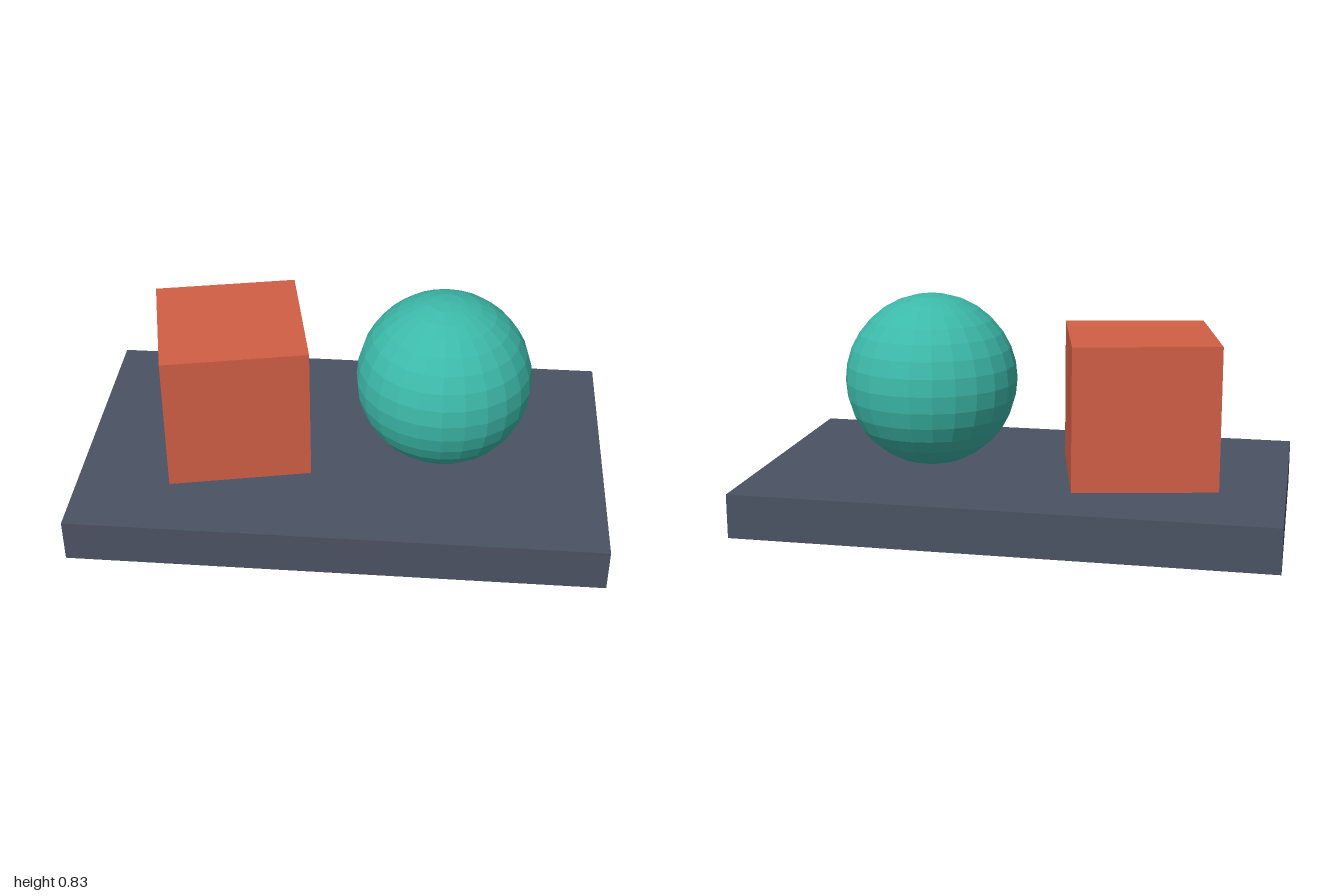
import * as THREE from 'three';

const material = (name, color, flatShading = false) => {
  const m = new THREE.MeshStandardMaterial({ color, flatShading });
  m.name = name;
  return m;
};

export function createModel() {
  const model = new THREE.Group();
  const slate = material('slate', 0x4a5263);
  const terracotta = material('terracotta', 0xd15f45);
  const teal = material('teal', 0x3cb9a9, true);

  const add = (name, geometry, mat, x, y, z) => {
    const mesh = new THREE.Mesh(geometry, mat);
    mesh.name = name;
    mesh.position.set(x, y, z);
    model.add(mesh);
    return mesh;
  };

  // Slab, with its top at 1/6
  const top = 1 / 6;
  add('slab', new THREE.BoxGeometry(2, top, 7 / 6), slate, 0, top / 2, 0);

  // Cube, turned slightly on the slab
  const side = 0.542;
  const cube = add('cube', new THREE.BoxGeometry(side, side, side), terracotta, -0.4375, top + side / 2, 0);
  cube.rotation.y = 0.21;

  // Faceted ball resting on the slab
  const radius = 1 / 3;
  add('ball', new THREE.SphereGeometry(radius, 24, 16), teal, 0.375, top + radius, 0);

  return model;
}
